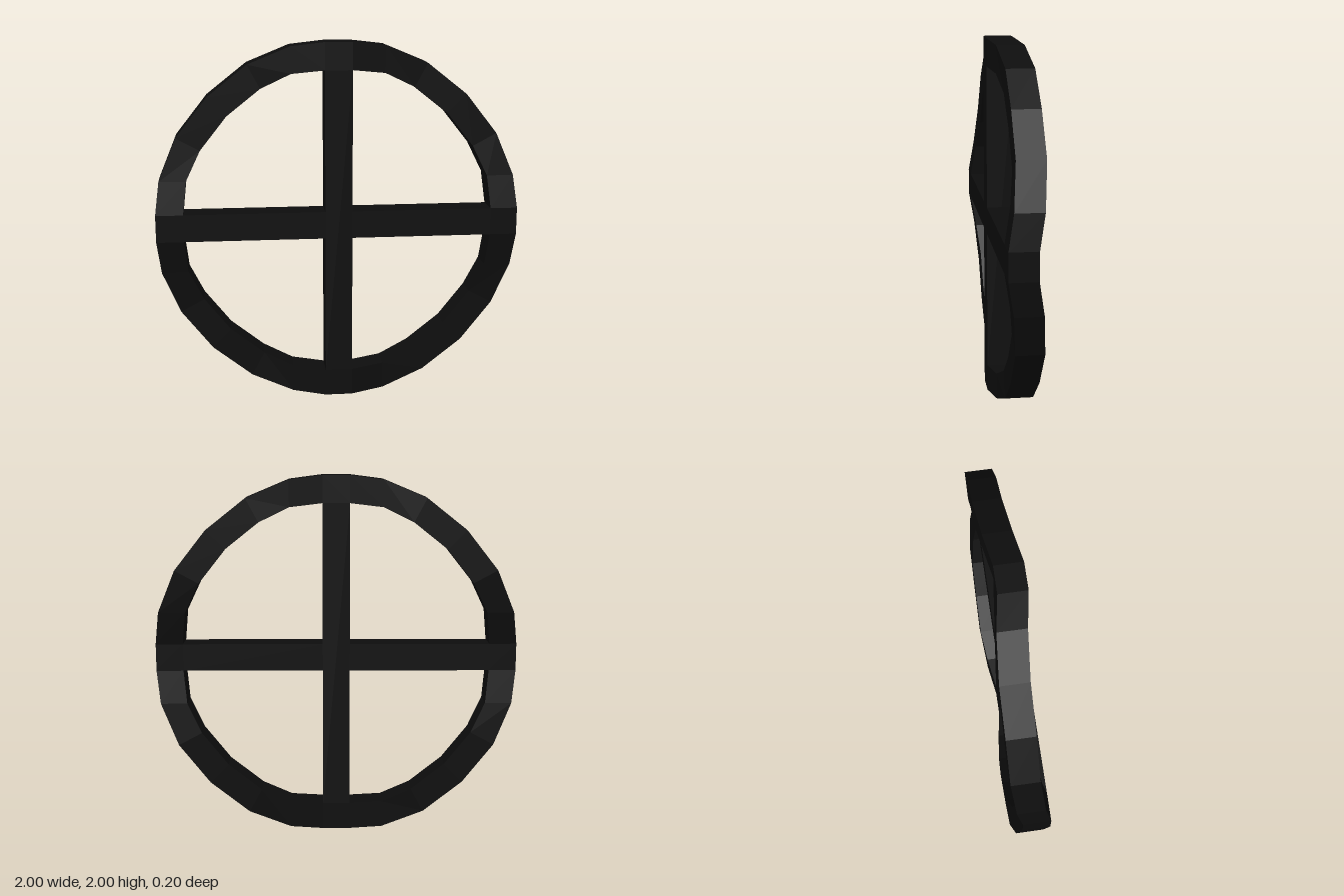
import * as THREE from 'three';

const BAR = 0.15;   // width and depth of every member
const INNER = 0.85; // inner radius of the rim

// One quarter of the rim, from the right spoke to the top spoke:
// outer x, outer y, inner x, inner y, z shift of the section
const QUARTER = [
  [1, 0.075, 0.85, 0.075, 0],
  [0.977, 0.257, 0.83, 0.255, -0.03],
  [0.88, 0.49, 0.75, 0.42, -0.05],
  [0.708, 0.708, 0.604, 0.604, -0.05],
  [0.49, 0.88, 0.42, 0.75, -0.05],
  [0.257, 0.977, 0.255, 0.83, -0.03],
  [0.075, 1, 0.075, 0.85, 0],
];

// Rim: a square section swept round four rotated quarters, waving back between spokes
function rimGeometry() {
  const positions = [];
  const index = [];
  for (let q = 0; q < 4; q++) {
    const c = Math.round(Math.cos(q * Math.PI / 2));
    const s = Math.round(Math.sin(q * Math.PI / 2));
    for (const [ox, oy, ix, iy, dz] of QUARTER) {
      const front = 0.1 + dz;
      const back = front - BAR;
      const section = [[ox, oy, back], [ox, oy, front], [ix, iy, front], [ix, iy, back]];
      for (const [x, y, z] of section) positions.push(c * x - s * y, s * x + c * y, z);
    }
  }
  const n = QUARTER.length * 4;
  for (let i = 0; i < n; i++) {
    for (let k = 0; k < 4; k++) {
      const a = i * 4 + k;
      const b = i * 4 + (k + 1) % 4;
      const d = ((i + 1) % n) * 4 + k;
      const e = ((i + 1) % n) * 4 + (k + 1) % 4;
      index.push(a, d, b, b, d, e);
    }
  }
  const geometry = new THREE.BufferGeometry();
  geometry.setAttribute('position', new THREE.Float32BufferAttribute(positions, 3));
  geometry.setIndex(index);
  const flat = geometry.toNonIndexed();
  flat.computeVertexNormals();
  return flat;
}

export function createModel() {
  const black = new THREE.MeshStandardMaterial({ color: 0x0d0d0d, flatShading: true });
  black.name = 'black';

  const wheel = new THREE.Group();
  wheel.name = 'spokedWheel';

  const add = (name, geometry, x, y, z) => {
    const mesh = new THREE.Mesh(geometry, black);
    mesh.name = name;
    mesh.position.set(x, y, z);
    wheel.add(mesh);
  };

  add('rim', rimGeometry(), 0, 1, 0);

  // Full-height spoke, with a half spoke on each side
  add('verticalSpoke', new THREE.BoxGeometry(BAR, INNER * 2, BAR), 0, 1, 0.025);
  const half = INNER - BAR / 2;
  for (const side of [-1, 1]) {
    add(side > 0 ? 'leftSpoke' : 'rightSpoke',
      new THREE.BoxGeometry(half, BAR, BAR), side * (BAR + half * 2) / 2 - side * half / 2, 1, 0.025);
  }
  return wheel;
}
